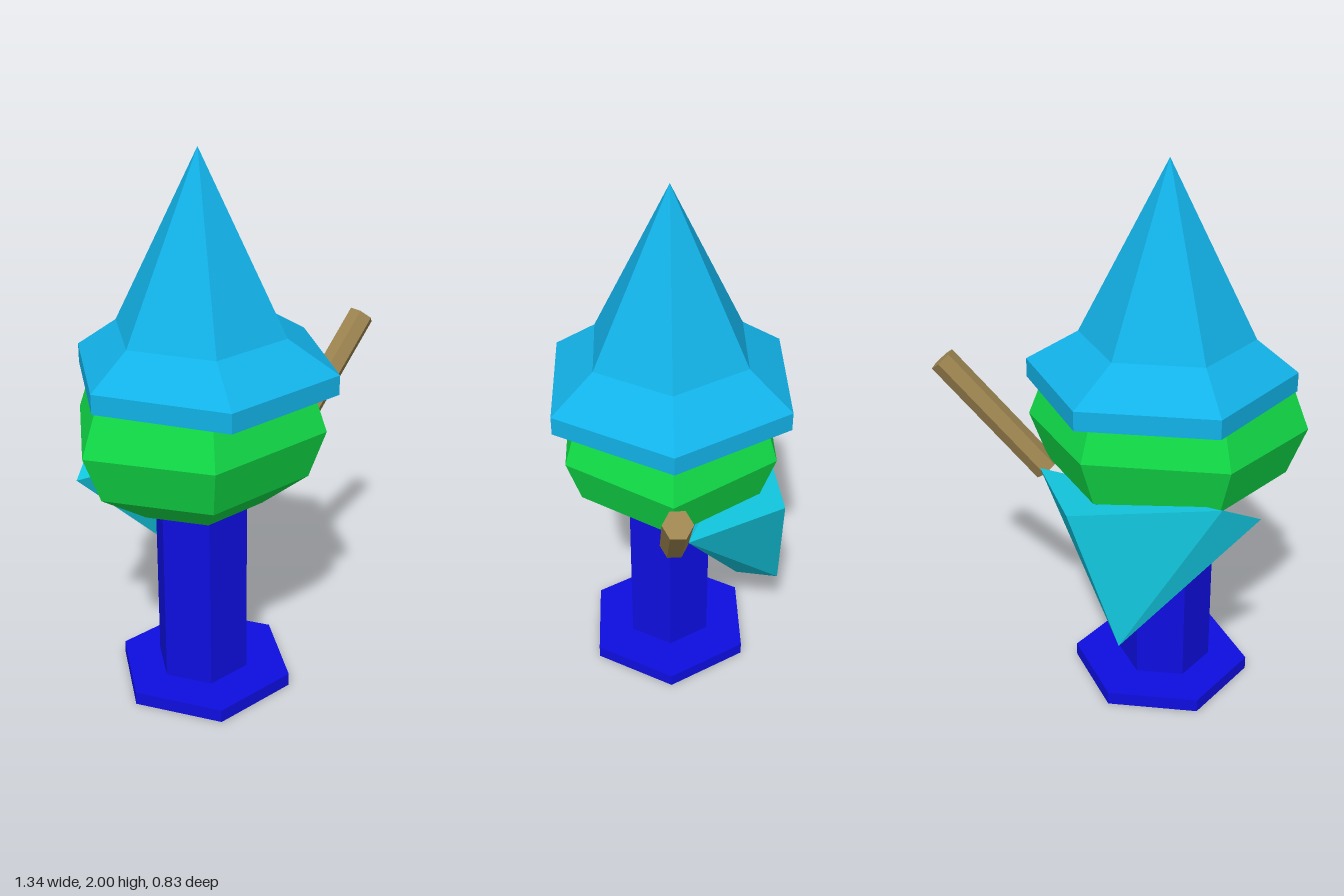
import * as THREE from 'three';
import { ConvexGeometry } from 'three/addons/geometries/ConvexGeometry.js';

const V = (x, y, z) => new THREE.Vector3(x, y, z);

export function createModel() {
  const model = new THREE.Group();

  function add(name, geometry, color) {
    const material = new THREE.MeshStandardMaterial({ color, flatShading: true });
    const mesh = new THREE.Mesh(geometry, material);
    mesh.name = name;
    model.add(mesh);
    return mesh;
  }

  // Upright hexagonal prism with corners pointing along x
  function hexPrism(radius, bottom, top) {
    return new THREE.CylinderGeometry(radius, radius, top - bottom, 6)
      .rotateY(Math.PI / 6)
      .translate(0, (bottom + top) / 2, 0);
  }

  // Foot plate and body column
  add('base', hexPrism(0.333, 0, 0.05).translate(-0.168, 0, 0.005), 0x0e0ee0);
  add('body', hexPrism(0.175, 0.06, 0.74).translate(-0.18, 0, 0.005), 0x0e0ee0);

  // Faceted, flattened head
  const head = add('head', new THREE.SphereGeometry(0.5, 6, 6), 0x11dd48);
  head.scale.set(1, 0.7, 0.86);
  head.position.set(-0.175, 1.055, 0.003);

  // Pointed hat; its brim sits slightly off the axis of the cone
  const profile = [[0, 1.2], [0.478, 1.2], [0.478, 1.27], [0.31, 1.385], [0, 2]]
    .map(([r, y]) => new THREE.Vector2(r, y));
  const hat = new THREE.LatheGeometry(profile, 6, Math.PI / 2);
  const p = hat.attributes.position;
  for (let i = 0; i < p.count; i++) {
    p.setX(i, p.getX(i) - (p.getY(i) < 1.3 ? 0.15 : 0.17));
  }
  add('hat', hat, 0x12b2e8);

  // Folded cloth hanging down the back to a blunt point
  const clothCorners = [
    V(0.28, 0.86, -0.05), V(0.12, 0.875, -0.405), V(-0.4, 0.905, -0.35),
    V(-0.53, 0.83, -0.26), V(-0.06, 0.37, -0.42), V(-0.08, 0.38, -0.26),
  ];
  add('backCloth', new ConvexGeometry(clothCorners), 0x12c4dc);

  // Slanted hexagonal stick at the side
  const low = V(0.263, 0.835, 0), high = V(0.635, 1.25, 0);
  const axis = high.clone().sub(low);
  const stick = add('stick', new THREE.CylinderGeometry(0.05, 0.05, axis.length(), 6), 0x9c8450);
  stick.position.copy(low).add(high).multiplyScalar(0.5);
  stick.rotation.z = -Math.atan2(axis.x, axis.y);

  return model;
}
